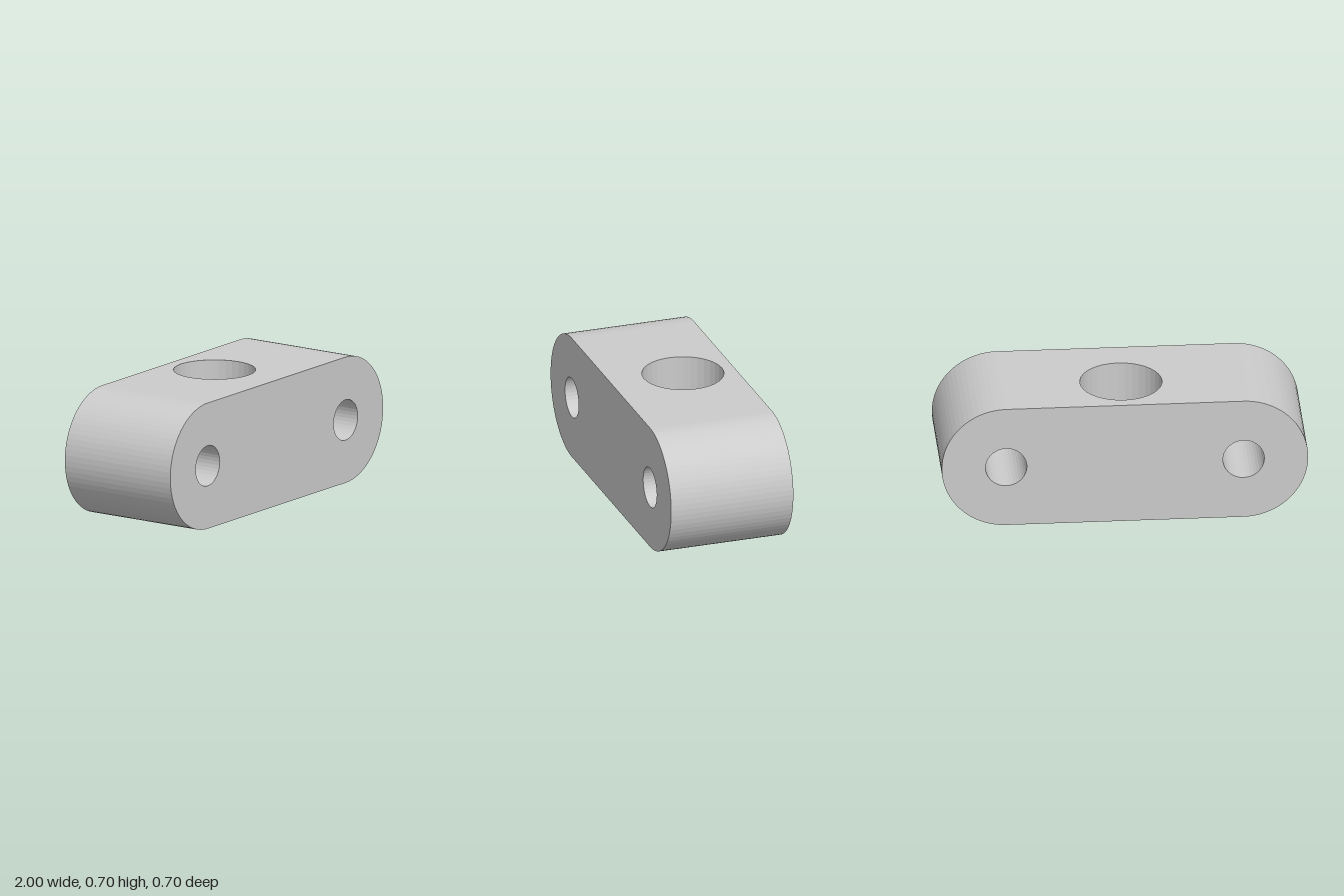
import * as THREE from 'three';
import { mergeGeometries } from 'three/addons/utils/BufferGeometryUtils.js';

const R = 0.352;            // end radius, also half the height and half the depth
const CX = 1 - R;           // centre of the rounded ends and of the small bores
const PIN_R = 0.113;        // small bores, front to back
const BORE_R = 0.224;       // large bore, top to bottom
const BORE_Z = -0.063;
const SEG = 36;             // sides per bore and per rounded end

const circle = (x, y, r) => new THREE.Path().absarc(x, y, r, 0, Math.PI * 2, true);

// Open cylinder wall along y, facing outward (dir 1) or inward (dir -1)
const wall = (r, dir, start = 0, sweep = Math.PI * 2) =>
  new THREE.LatheGeometry([new THREE.Vector2(r, -R * dir), new THREE.Vector2(r, R * dir)], SEG, start, sweep);

// Stadium-shaped face with the two small holes
function sideFace() {
  const s = new THREE.Shape();
  s.absarc(CX, 0, R, -Math.PI / 2, Math.PI / 2);
  s.absarc(-CX, 0, R, Math.PI / 2, Math.PI * 1.5);
  s.closePath();
  s.holes.push(circle(CX, 0, PIN_R), circle(-CX, 0, PIN_R));
  return new THREE.ShapeGeometry(s, SEG / 2).translate(0, 0, R);
}

// Flat rectangular face with the large hole, offset along the shape's y
function flatFace(holeY) {
  const s = new THREE.Shape();
  s.moveTo(-CX, -R).lineTo(CX, -R).lineTo(CX, R).lineTo(-CX, R).closePath();
  s.holes.push(circle(0, holeY, BORE_R));
  return new THREE.ShapeGeometry(s, SEG / 2).translate(0, 0, R);
}

export function createModel() {
  const group = new THREE.Group();
  const material = new THREE.MeshStandardMaterial({ color: 0xcccccc, flatShading: true });
  const add = (name, geometry) => {
    const mesh = new THREE.Mesh(geometry, material);
    mesh.name = name;
    mesh.position.y = R;
    group.add(mesh);
  };

  // Outer skin of the block
  add('body', mergeGeometries([
    sideFace(),
    sideFace().rotateY(Math.PI),
    flatFace(-BORE_Z).rotateX(-Math.PI / 2),
    flatFace(BORE_Z).rotateX(Math.PI / 2),
    wall(R, 1, 0, Math.PI).rotateX(Math.PI / 2).translate(CX, 0, 0),
    wall(R, 1, Math.PI, Math.PI).rotateX(Math.PI / 2).translate(-CX, 0, 0),
  ]));

  // Inner walls of the through holes
  add('verticalBore', wall(BORE_R, -1).translate(0, 0, BORE_Z));
  add('leftPinHole', wall(PIN_R, -1).rotateX(Math.PI / 2).translate(CX, 0, 0));
  add('rightPinHole', wall(PIN_R, -1).rotateX(Math.PI / 2).translate(-CX, 0, 0));

  return group;
}
